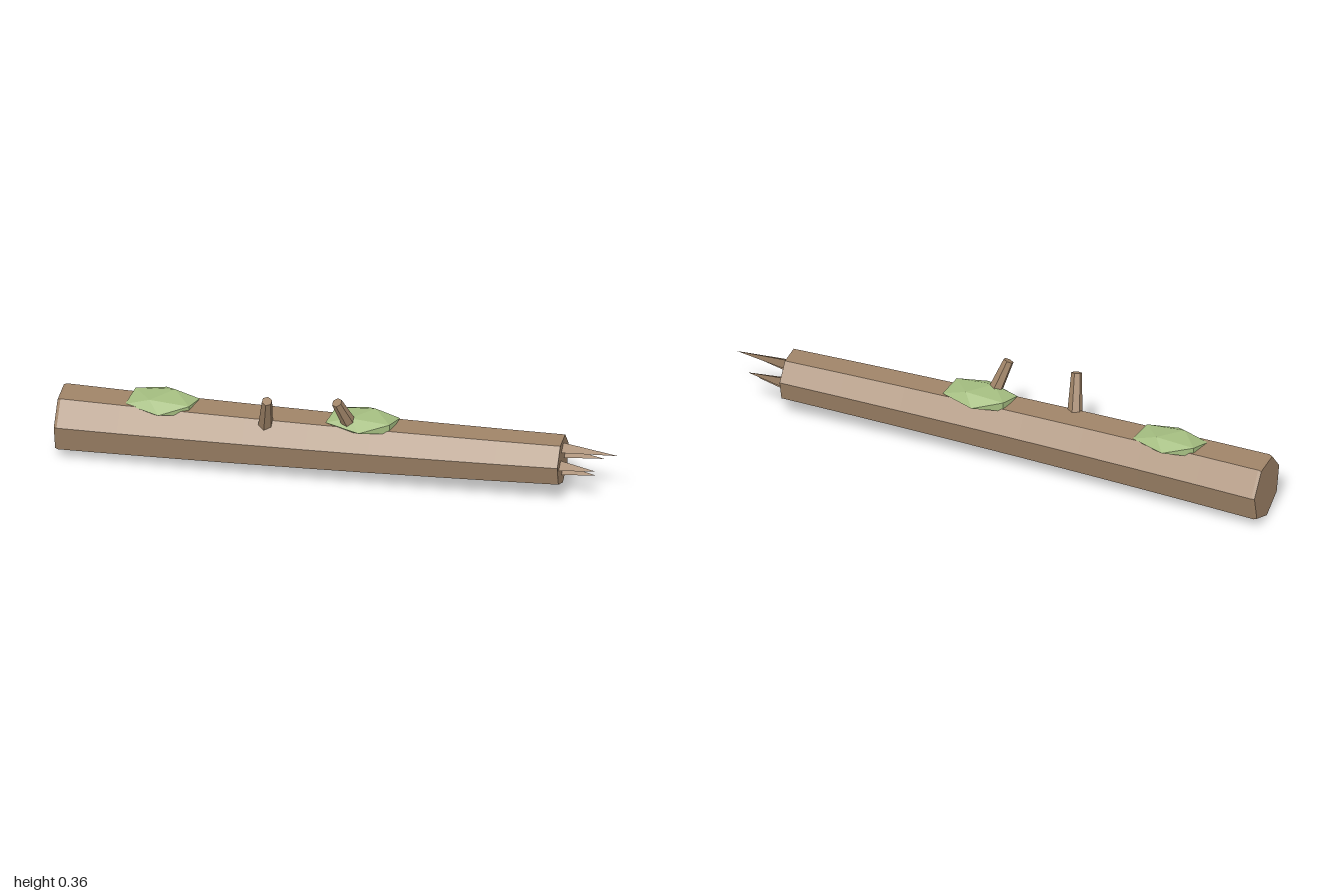
import * as THREE from 'three';

const bark = new THREE.MeshStandardMaterial({ color: 0xa08468, flatShading: true });
const leaf = new THREE.MeshStandardMaterial({ color: 0xa4bd80, flatShading: true });

function addMesh(parent, name, geometry, material) {
  const mesh = new THREE.Mesh(geometry, material);
  mesh.name = name;
  parent.add(mesh);
  return mesh;
}

// Seven-sided trunk, tapering and bending gently along x
function trunkGeometry() {
  const rings = 9;
  const geo = new THREE.CylinderGeometry(1, 1, 1, 7, rings, false, Math.PI / 2);
  geo.rotateZ(-Math.PI / 2);
  const pos = geo.attributes.position;
  for (let i = 0; i < pos.count; i++) {
    const ring = Math.round((pos.getX(i) + 0.5) * rings);
    // The first ring forms a narrow bevel at the sawn end
    const t = ring === 0 ? 0 : ring === 1 ? 0.006 : (ring - 1) / (rings - 1);
    const radius = (0.121 - 0.029 * t) * (ring === 0 ? 0.96 : 1);
    const centreY = 0.121 + 0.036 * t;
    const centreZ = 0.011 - 0.006 * t - 0.044 * t * t;
    pos.setXYZ(i, -1 + 1.8 * t, centreY + pos.getY(i) * radius, centreZ + pos.getZ(i) * radius);
  }
  geo.computeVertexNormals();
  return geo;
}

// Short branch stub between two points
function addTwig(parent, name, from, to) {
  const a = new THREE.Vector3(...from);
  const b = new THREE.Vector3(...to);
  const dir = b.clone().sub(a);
  const twig = addMesh(parent, name, new THREE.CylinderGeometry(0.019, 0.029, dir.length(), 6), bark);
  twig.position.copy(a).add(b).multiplyScalar(0.5);
  twig.quaternion.setFromUnitVectors(new THREE.Vector3(0, 1, 0), dir.normalize());
}

// Flattened faceted moss patch
function addMoss(parent, name, position, tilt) {
  const geo = new THREE.IcosahedronGeometry(1, 0);
  geo.rotateY(Math.PI / 3);
  geo.scale(0.142, 0.034, 0.09);
  const moss = addMesh(parent, name, geo, leaf);
  moss.position.set(...position);
  moss.rotation.x = tilt;
}

export function createModel() {
  const log = new THREE.Group();
  log.name = 'fallenLog';
  addMesh(log, 'trunk', trunkGeometry(), bark);

  // Splinters on the broken end: y, z, tip x
  const splinters = [
    [0.202, -0.039, 1.0],
    [0.155, 0.006, 0.93],
    [0.155, -0.083, 0.94],
    [0.11, -0.039, 0.92],
  ];
  splinters.forEach(([y, z, tip], i) => {
    const base = 0.79;
    const geo = new THREE.ConeGeometry(0.025, tip - base, 3);
    geo.rotateZ(-Math.PI / 2);
    const spike = addMesh(log, `splinter${i + 1}`, geo, bark);
    spike.position.set((tip + base) / 2, y, z);
  });

  addTwig(log, 'rightTwig', [-0.257, 0.19, 0.035], [-0.235, 0.35, 0.106]);
  addTwig(log, 'leftTwig', [0.056, 0.21, 0.01], [0.01, 0.357, 0.072]);

  addMoss(log, 'rightMoss', [-0.635, 0.232, 0.004], 0.05);
  addMoss(log, 'leftMoss', [0.085, 0.243, -0.01], 0);
  return log;
}
